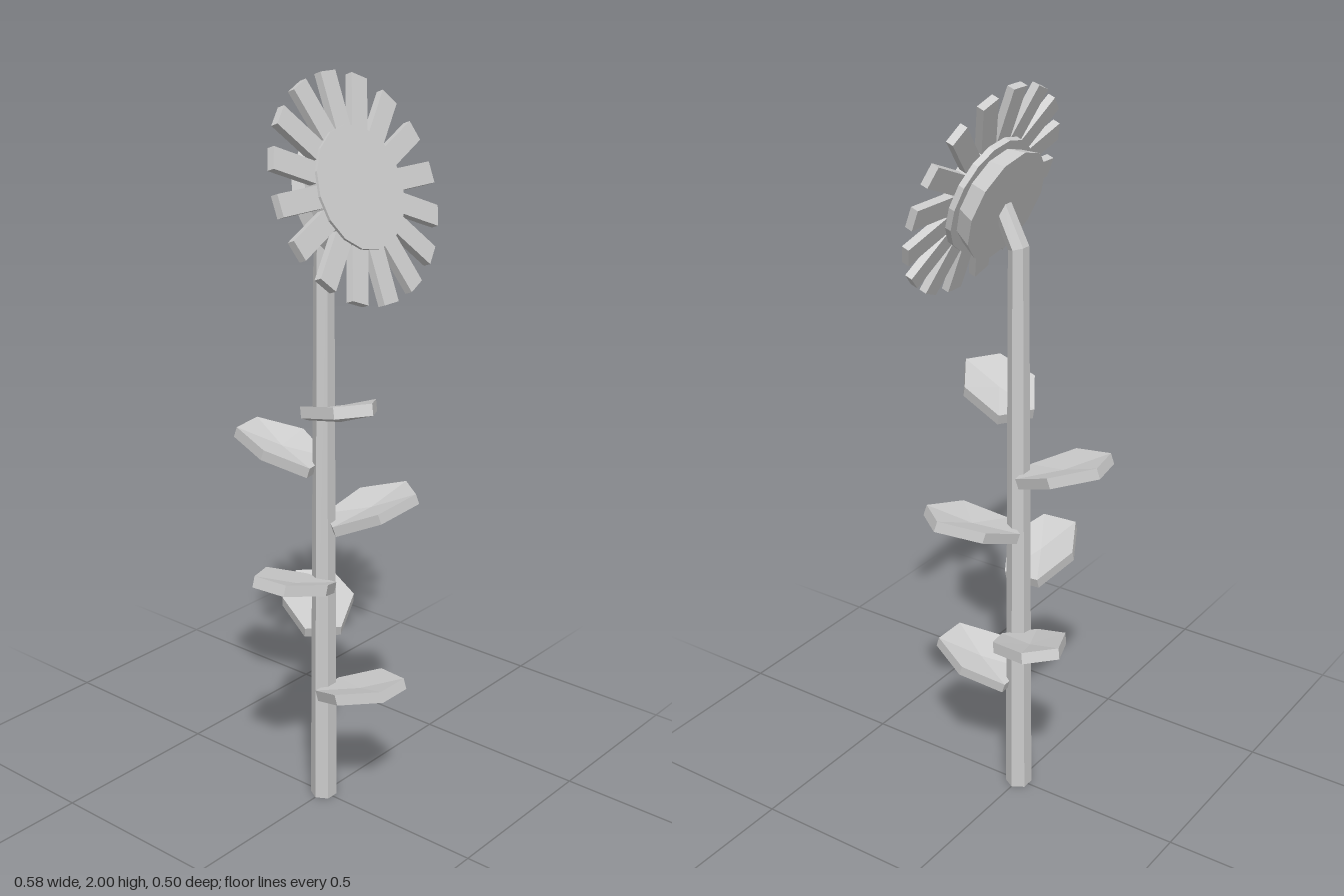
import * as THREE from 'three';

const grey = new THREE.MeshStandardMaterial({ color: 0xcccccc, flatShading: true });
grey.name = 'plain grey';

function add(parent, geometry, name) {
  const mesh = new THREE.Mesh(geometry, grey);
  mesh.name = name;
  parent.add(mesh);
  return mesh;
}

// Hexagonal stem that tapers upward and bends forward into the head
function stemGeometry() {
  const g = new THREE.CylinderGeometry(1, 1, 2, 6, 2).rotateY(Math.PI / 6);
  const rows = [
    { y: 0, z: 0, r: 0.037, lean: 0 },
    { y: 1.6, z: 0, r: 0.027, lean: 0.25 },
    { y: 1.71, z: 0.055, r: 0.025, lean: 0.5 },
  ];
  const p = g.attributes.position;
  for (let i = 0; i < p.count; i++) {
    const row = rows[Math.round(p.getY(i)) + 1];
    const dz = p.getZ(i) * row.r;
    p.setXYZ(i, p.getX(i) * row.r, row.y - dz * Math.sin(row.lean), row.z + dz * Math.cos(row.lean));
  }
  g.computeVertexNormals();
  return g;
}

// Six-sided leaf, long along +z, with raised sides and a sunken middle
function leafGeometry() {
  const g = new THREE.CylinderGeometry(0.1, 0.1, 0.03, 6).rotateY(Math.PI / 6);
  const p = g.attributes.position;
  for (let i = 0; i < p.count; i++) {
    const x = p.getX(i), z = p.getZ(i);
    const side = Math.abs(x) > 0.08;
    const middle = Math.hypot(x, z) < 0.01;
    p.setY(i, p.getY(i) + (side ? 0.009 : middle ? -0.01 : 0));
    p.setZ(i, z * 1.37);
  }
  g.computeVertexNormals();
  return g;
}

export function createModel() {
  const model = new THREE.Group();
  model.name = 'flower';
  add(model, stemGeometry(), 'stem');

  // Leaves climb the stem in a golden-angle spiral
  const leafShape = leafGeometry();
  for (let i = 0; i < 6; i++) {
    const pivot = new THREE.Group();
    pivot.name = 'leaf' + (i + 1);
    pivot.position.y = 0.372 + i * 0.161;
    pivot.rotation.y = THREE.MathUtils.degToRad(137.5 * i);
    const leaf = add(pivot, leafShape, 'leafBlade');
    leaf.position.z = 0.13;
    leaf.rotation.x = -0.32;
    model.add(pivot);
  }

  // Head, tilted slightly upward; its local +z is the facing direction
  const head = new THREE.Group();
  head.name = 'head';
  head.position.set(0, 1.727, 0.105);
  head.rotation.x = -0.363;
  model.add(head);

  const centre = add(head, new THREE.CylinderGeometry(0.155, 0.155, 0.045, 16).rotateX(Math.PI / 2), 'seedDisc');
  centre.position.z = -0.005;
  const back = add(head, new THREE.CylinderGeometry(0.132, 0.15, 0.052, 12).rotateX(Math.PI / 2), 'backDisc');
  back.position.z = -0.051;

  // Ring of block petals
  const petalShape = new THREE.BoxGeometry(0.055, 0.148, 0.021).translate(0, 0.214, 0);
  for (let i = 0; i < 16; i++) {
    add(head, petalShape, 'petal' + (i + 1)).rotation.z = (i / 16) * Math.PI * 2;
  }
  return model;
}
